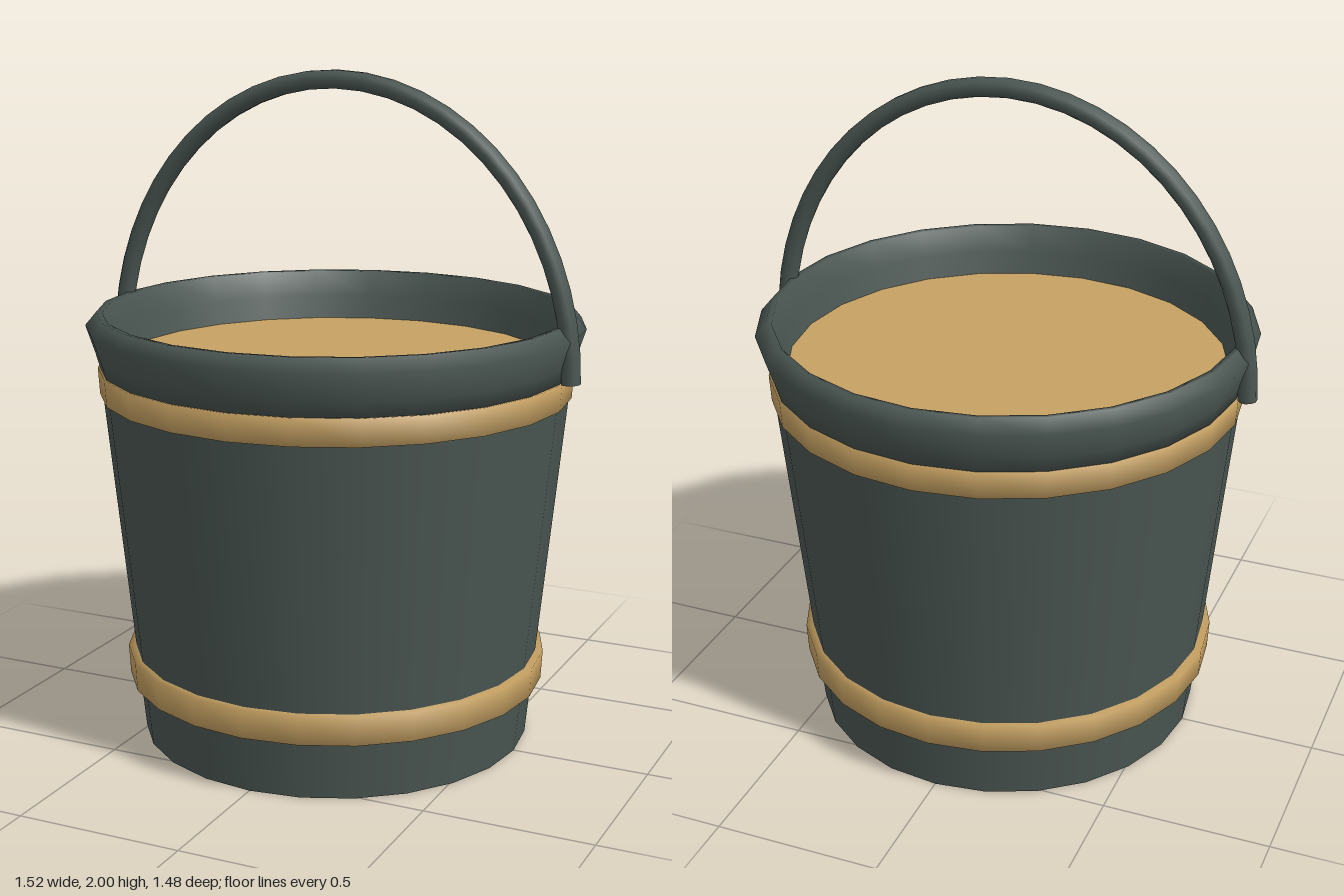
import * as THREE from 'three';

const SIDES = 24;

export function createModel() {
  const group = new THREE.Group();
  group.name = 'bucket';
  const dark = new THREE.MeshStandardMaterial({ color: 0x4a5652 });
  const tan = new THREE.MeshStandardMaterial({ color: 0xc6a162 });

  const add = (name, geometry, material) => {
    const mesh = new THREE.Mesh(geometry, material);
    mesh.name = name;
    group.add(mesh);
    return mesh;
  };
  // Ring turned from a profile that runs up the outside and back inwards
  const turned = (profile) =>
    new THREE.LatheGeometry(profile.map(([r, y]) => new THREE.Vector2(r, y)), SIDES);

  // Tapered body, closed below
  add('body', new THREE.CylinderGeometry(0.7, 0.587, 1.12, SIDES), dark).position.y = 0.56;

  // Two hoops around the body
  const hoop = (name, y0, y1, r0, r1) =>
    add(name, turned([[r0 - 0.04, y0], [r0, y0], [r1, y1], [r1 - 0.04, y1]]), tan);
  hoop('lowerHoop', 0.178, 0.265, 0.632, 0.637);
  hoop('upperHoop', 1.055, 1.135, 0.702, 0.707);

  // Flared rim, thickest near the top and sloping inwards to the contents
  add('rim', turned([
    [0.66, 1.135], [0.7, 1.135], [0.713, 1.18], [0.74, 1.262],
    [0.708, 1.3], [0.69, 1.298], [0.67, 1.22], [0.652, 1.145],
  ]), dark);

  // Level surface filling the bucket just below the rim
  const fill = add('contents', new THREE.CircleGeometry(0.68, SIDES), tan);
  fill.rotation.x = -Math.PI / 2;
  fill.position.y = 1.148;

  // Arched handle with closed ends
  const endX = 0.733, endY = 1.138, tubeR = 0.028;
  const points = [];
  for (let i = 0; i <= 24; i++) {
    const a = (i / 24) * Math.PI;
    points.push(new THREE.Vector3(
      endX * Math.cos(a), endY + (2 - tubeR - endY) * Math.sin(a), 0));
  }
  add('handle', new THREE.TubeGeometry(
    new THREE.CatmullRomCurve3(points), 28, tubeR, 10), dark);
  for (const s of [1, -1]) {
    const cap = add(s > 0 ? 'leftHandleEnd' : 'rightHandleEnd',
      new THREE.CircleGeometry(tubeR, 10), dark);
    cap.rotation.x = Math.PI / 2;
    cap.position.set(s * endX, endY, 0);
  }

  return group;
}
